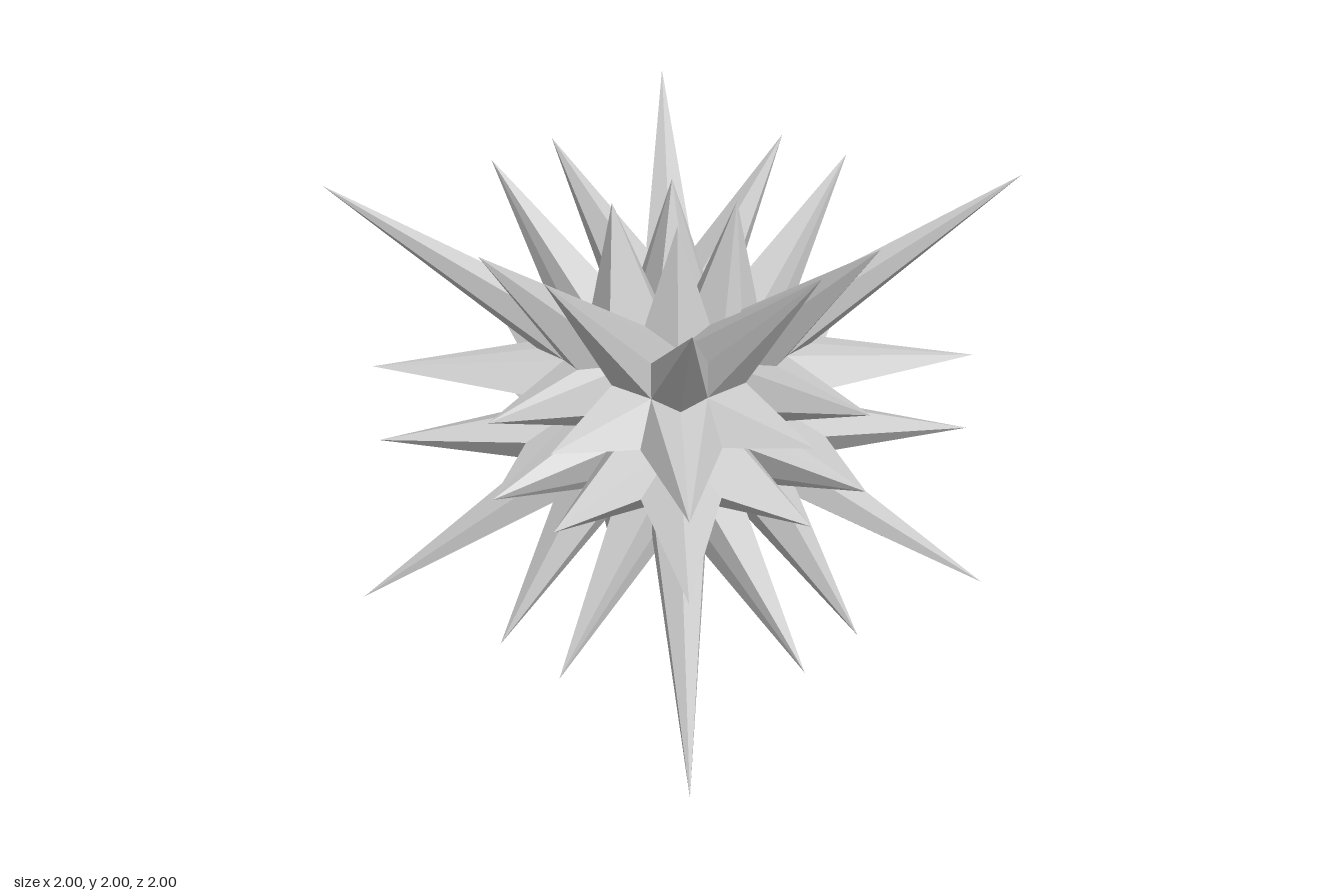
import * as THREE from 'three';

// Corner points of one 1/48 sector of the star (0 <= x <= y <= z)
const cornerTip = [1, 1, 1];
const faceTip = [0.18, 0.18, 0.905];
const edgeTip = [0.18, 0.905, 0.905];
const facePit = [0, 0, 0.26];
const saddle = [0, 0.09, 0.42];
const edgePit = [0, 0.26, 0.26];
const notch = [0.098, 0.285, 0.48];
const cornerPit = [0.25, 0.25, 0.41];
const cornerRim = [0.25, 0.41, 0.41];

// Each spike is a fan from its tip along a chain of base points
const spikes = {
  cornerSpikes: [cornerTip, [cornerRim, cornerPit]],
  faceSpikes: [faceTip, [facePit, saddle, edgePit, notch, cornerPit]],
  edgeSpikes: [edgeTip, [edgePit, notch, cornerPit, cornerRim]],
};

const orders = [[0, 1, 2], [0, 2, 1], [1, 0, 2], [1, 2, 0], [2, 0, 1], [2, 1, 0]];

// Places a sector point in another sector; notches round the equator stand out further
function place(point, order, signs) {
  const grow = point === notch && order[1] === 0 ? 1.18 : 1;
  return new THREE.Vector3(...order.map((k, i) => point[k] * signs[i] * grow));
}

function spikeGeometry([tip, base]) {
  const points = [];
  for (const order of orders) {
    for (let s = 0; s < 8; s++) {
      const signs = [s & 1 ? -1 : 1, s & 2 ? -1 : 1, s & 4 ? -1 : 1];
      for (let i = 0; i + 1 < base.length; i++) {
        const [a, b, c] = [tip, base[i], base[i + 1]].map((p) => place(p, order, signs));
        // Turn every face away from the centre
        const outward = a.dot(b.clone().cross(c)) > 0;
        points.push(a, ...(outward ? [b, c] : [c, b]));
      }
    }
  }
  const geometry = new THREE.BufferGeometry().setFromPoints(points);
  geometry.computeVertexNormals();
  return geometry;
}

export function createModel() {
  const star = new THREE.Group();
  star.name = 'spikedStar';
  const material = new THREE.MeshStandardMaterial({ color: 0xcccccc, flatShading: true });
  for (const [name, spike] of Object.entries(spikes)) {
    const mesh = new THREE.Mesh(spikeGeometry(spike), material);
    mesh.name = name;
    mesh.position.y = 1;
    star.add(mesh);
  }
  return star;
}
